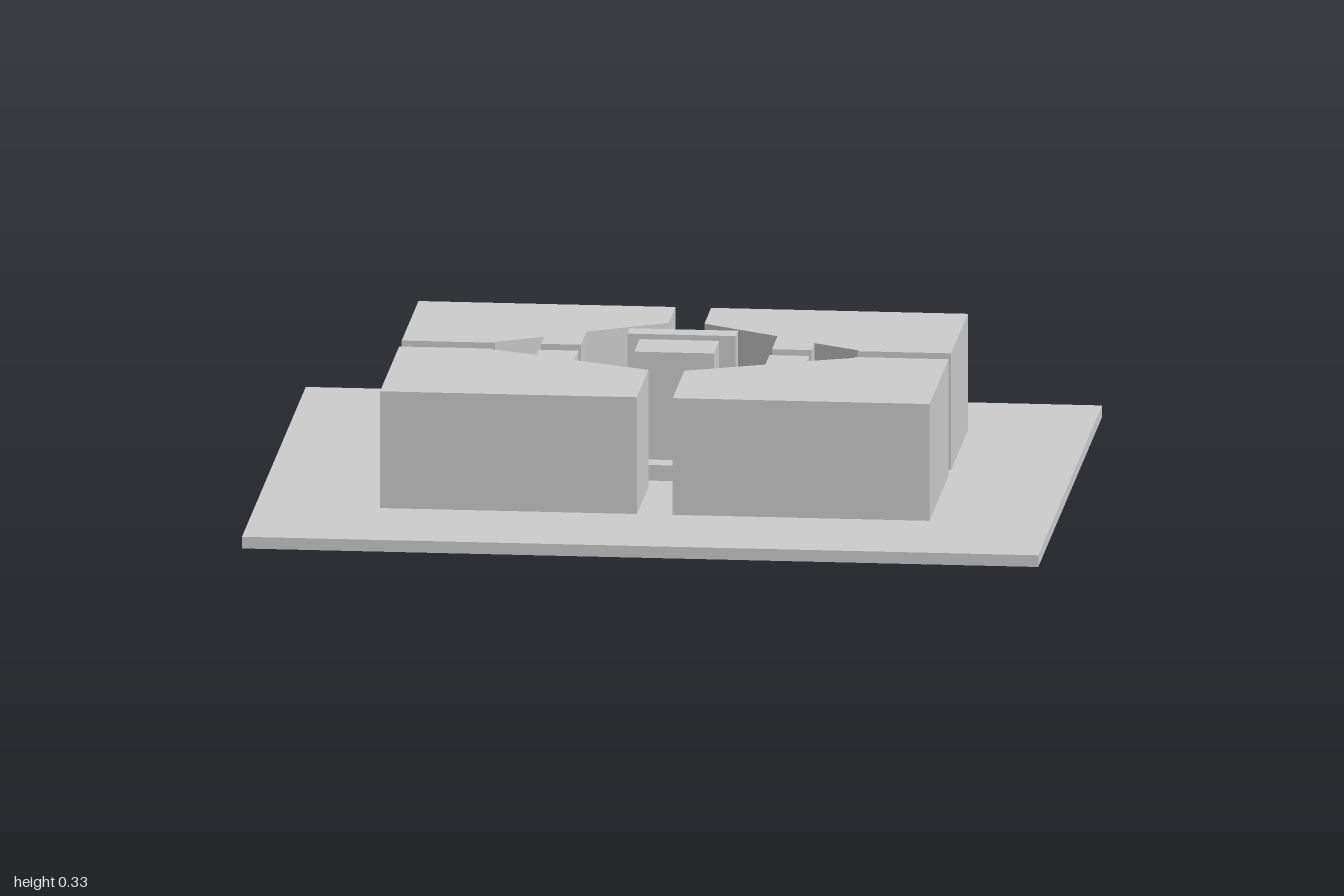
import * as THREE from 'three';

const material = new THREE.MeshStandardMaterial({ color: 0xcccccc });
const BASE = 0.03, TOP = 0.33;

// Box given by its ranges on each axis
function box(name, x0, x1, y0, y1, z0, z1) {
  const mesh = new THREE.Mesh(new THREE.BoxGeometry(x1 - x0, y1 - y0, z1 - z0), material);
  mesh.position.set((x0 + x1) / 2, (y0 + y1) / 2, (z0 + z1) / 2);
  mesh.name = name;
  return mesh;
}

// Upright prism over a plan outline of [x, z] points
function prism(name, plan) {
  const shape = new THREE.Shape(plan.map(([x, z]) => new THREE.Vector2(x, -z)));
  const geometry = new THREE.ExtrudeGeometry(shape, { depth: TOP - BASE, bevelEnabled: false });
  geometry.rotateX(-Math.PI / 2);
  geometry.translate(0, BASE, 0);
  const mesh = new THREE.Mesh(geometry, material);
  mesh.name = name;
  return mesh;
}

// Corner block: rectangle with its inner corner cut diagonally, leaving one square tooth
function cornerBlock(name, side, z) {
  const plan = [
    [0.69, z.outer], [0.045, z.outer], [0.045, z.cut],
    [0.24, z.toothIn], [0.24, z.gap], [0.34, z.gap], [0.34, z.toothOut],
    [0.455, z.tip], [0.455, z.gap], [0.69, z.gap],
  ];
  return prism(name, plan.map(([x, d]) => [side * x + 0.003, d]));
}

export function createModel() {
  const model = new THREE.Group();
  model.name = 'courtyardBlocks';

  // Ground slab
  model.add(box('baseSlab', -1, 1, 0, BASE, -0.805, 0.805));

  // Four corner blocks around the courtyard
  const back = { outer: -0.505, cut: -0.335, toothIn: -0.22, toothOut: -0.155, tip: -0.09, gap: -0.08 };
  const front = { outer: 0.465, cut: 0.17, toothIn: 0.085, toothOut: 0.038, tip: -0.008, gap: -0.017 };
  for (const [side, label] of [[1, 'Left'], [-1, 'Right']]) {
    model.add(cornerBlock('back' + label + 'Block', side, back));
    model.add(cornerBlock('front' + label + 'Block', side, front));
  }

  // Courtyard pieces
  model.add(box('centreBlock', -0.097, 0.103, BASE, TOP, -0.155, -0.02));
  model.add(box('backBar', -0.133, 0.139, BASE, TOP, -0.268, -0.21));
  model.add(box('frontLowBar', -0.133, 0.139, BASE, 0.07, 0.048, 0.106));

  return model;
}
